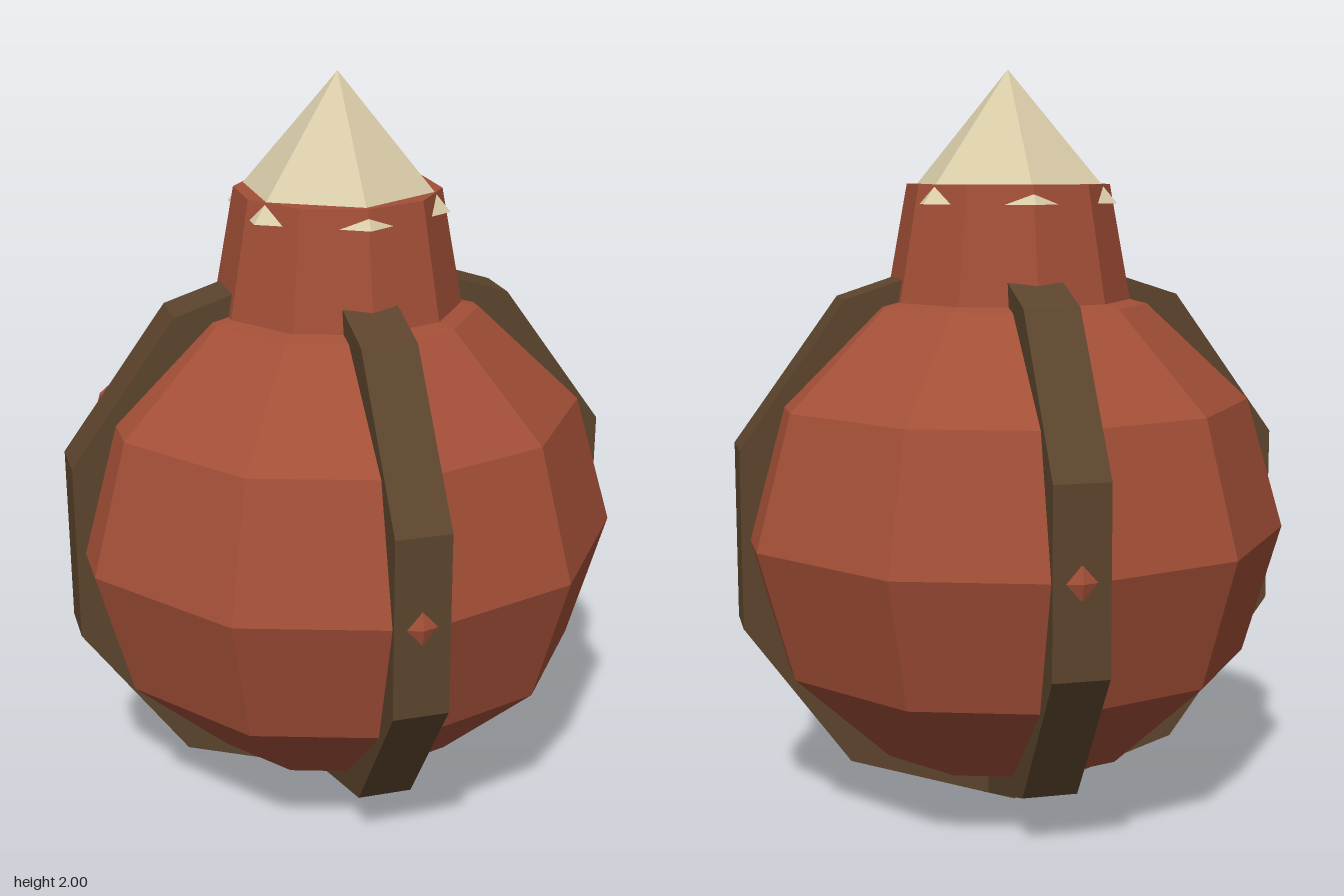
import * as THREE from 'three';

export function createModel() {
  const model = new THREE.Group();
  const mat = (color) => new THREE.MeshStandardMaterial({ color, flatShading: true });
  const clay = mat(0xa34f37), strap = mat(0x5c442d), bone = mat(0xd8cba8);
  const midY = 0.776;

  function add(name, geometry, material, y) {
    const mesh = new THREE.Mesh(geometry, material);
    mesh.name = name;
    mesh.position.y = y;
    model.add(mesh);
    return mesh;
  }

  // Ten-sided round belly, slightly squashed, with corners facing front and back
  const belly = new THREE.SphereGeometry(0.75, 10, 6);
  belly.rotateY(Math.PI / 2).scale(1, 0.7 / 0.75, 1);
  add('body', belly, clay, midY);

  // Tapered neck rising out of the belly
  add('neck', new THREE.CylinderGeometry(0.273, 0.331, 0.315, 10), clay, 1.5425);

  // Six-sided stopper; its lower corners poke through the neck
  add('stopper', new THREE.ConeGeometry(0.3, 0.35, 6), bone, 1.825);

  // Two crossing straps: ten-sided hoops of square section
  const outer = 0.775, inner = 0.63, half = 0.0725;
  const section = [[outer, -half], [outer, half], [inner, half], [inner, -half], [outer, -half]]
    .map(([r, y]) => new THREE.Vector2(r, y));
  const hoop = new THREE.LatheGeometry(section, 10).rotateX(Math.PI / 2);
  add('sideStrap', hoop, strap, midY);
  add('frontStrap', hoop, strap, midY).rotation.y = Math.PI / 2;

  return model;
}
